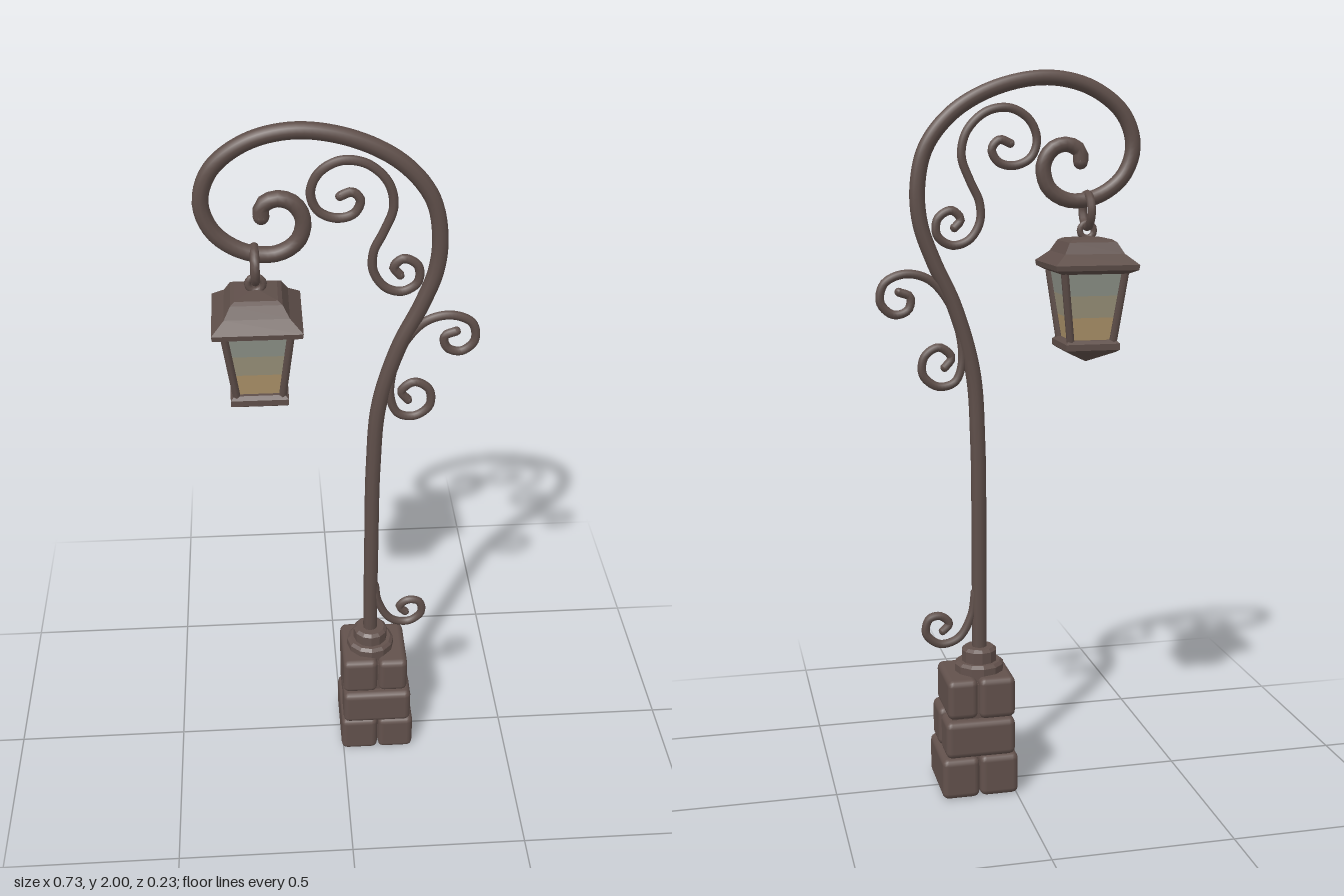
import * as THREE from 'three';
import { RoundedBoxGeometry } from 'three/addons/geometries/RoundedBoxGeometry.js';

const material = (name, color) => {
  const m = new THREE.MeshStandardMaterial({ color });
  m.name = name;
  return m;
};

export function createModel() {
  const root = new THREE.Group();
  root.name = 'streetLamp';
  const iron = material('iron', 0x5f4f4a);
  const stone = material('stone', 0x62514c);
  const glassTop = material('paleGlass', 0x90948a);
  const glassMid = material('hazyGlass', 0x9c947c);
  const glassLow = material('warmGlass', 0xb0966c);

  const add = (name, geometry, mat, parent = root) => {
    const mesh = new THREE.Mesh(geometry, mat);
    mesh.name = name;
    parent.add(mesh);
    return mesh;
  };
  const flat = (geometry) => {
    const g = geometry.index ? geometry.toNonIndexed() : geometry;
    g.computeVertexNormals();
    return g;
  };

  // Bent round bar in the xy plane with rounded ends
  const bar = (name, points, radius, steps, sides) => {
    const group = new THREE.Group();
    group.name = name;
    root.add(group);
    const path = points.map(([x, y]) => new THREE.Vector3(x, y, 0));
    const curve = new THREE.CatmullRomCurve3(path);
    add(name + 'Bar', new THREE.TubeGeometry(curve, steps, radius, sides), iron, group);
    for (const end of [path[0], path[path.length - 1]]) {
      add(name + 'End', new THREE.SphereGeometry(radius, sides, 6), iron, group).position.copy(end);
    }
  };

  // Pole sweeping over into the big hook
  bar('pole', [
    [0.085, 0.36], [0.085, 0.7], [0.087, 1.0], [0.1, 1.2], [0.15, 1.38], [0.205, 1.5],
    [0.24, 1.6], [0.246, 1.7], [0.222, 1.8], [0.148, 1.89], [0.03, 1.954], [-0.11, 1.979],
    [-0.23, 1.953], [-0.318, 1.885], [-0.346, 1.8], [-0.318, 1.72], [-0.245, 1.667],
    [-0.165, 1.658], [-0.11, 1.692], [-0.096, 1.75], [-0.12, 1.793], [-0.162, 1.806],
    [-0.197, 1.787], [-0.199, 1.76],
  ], 0.021, 150, 10);

  // Thin ornamental scrolls
  bar('innerScroll', [
    [-0.005, 1.808], [0.025, 1.818], [0.046, 1.794], [0.03, 1.761], [-0.013, 1.75],
    [-0.06, 1.771], [-0.077, 1.818], [-0.056, 1.87], [-0.003, 1.9], [0.061, 1.89],
    [0.114, 1.839], [0.128, 1.775], [0.105, 1.71], [0.08, 1.655], [0.08, 1.6],
    [0.11, 1.555], [0.156, 1.542], [0.195, 1.568], [0.193, 1.613], [0.156, 1.634],
    [0.131, 1.61], [0.148, 1.588],
  ], 0.012, 120, 7);
  bar('outerScroll', [
    [0.3, 1.42], [0.27, 1.407], [0.276, 1.372], [0.315, 1.36], [0.35, 1.392],
    [0.34, 1.443], [0.285, 1.468], [0.22, 1.453], [0.168, 1.395], [0.138, 1.315],
    [0.13, 1.225], [0.151, 1.172], [0.198, 1.162], [0.238, 1.195], [0.233, 1.245],
    [0.193, 1.269], [0.159, 1.24], [0.178, 1.213],
  ], 0.012, 100, 7);
  bar('baseScroll', [
    [0.098, 0.57], [0.108, 0.505], [0.145, 0.44], [0.198, 0.426], [0.238, 0.46],
    [0.228, 0.502], [0.195, 0.508], [0.172, 0.484], [0.19, 0.463],
  ], 0.012, 56, 7);

  // Stacked collar under the pole
  for (const [radius, y0, y1] of [[0.07, 0.33, 0.372], [0.05, 0.365, 0.412]]) {
    const collar = new THREE.LatheGeometry([
      new THREE.Vector2(radius, y0), new THREE.Vector2(radius, y1 - 0.008),
      new THREE.Vector2(radius - 0.009, y1), new THREE.Vector2(0, y1),
    ], 12);
    add('poleCollar', flat(collar), stone).position.x = 0.086;
  }

  // Stone blocks: x0, x1, y0, y1, z0, z1, with the seam direction alternating per course
  const blocks = [
    [-0.006, 0.104, 0, 0.12, -0.108, 0.108], [0.106, 0.212, 0, 0.118, -0.11, 0.108],
    [0, 0.203, 0.115, 0.228, 0.003, 0.11], [0.002, 0.2, 0.118, 0.226, -0.106, -0.005],
    [0, 0.103, 0.226, 0.345, -0.097, 0.095], [0.106, 0.192, 0.228, 0.343, -0.093, 0.096],
  ];
  const base = new THREE.Group();
  base.name = 'stoneBase';
  root.add(base);
  for (const [x0, x1, y0, y1, z0, z1] of blocks) {
    const g = new RoundedBoxGeometry(x1 - x0, y1 - y0, z1 - z0, 2, 0.018);
    add('stoneBlock', g, stone, base).position.set((x0 + x1) / 2, (y0 + y1) / 2, (z0 + z1) / 2);
  }
  add('baseCore', new THREE.BoxGeometry(0.16, 0.31, 0.16), stone, base).position.set(0.1, 0.17, 0);

  // Lantern hanging from the hook
  const lantern = new THREE.Group();
  lantern.name = 'lantern';
  lantern.position.x = -0.219;
  root.add(lantern);

  // Square part from [half width, height] pairs, bottom to top
  const square = (name, profile, mat) => {
    const pts = profile.map(([w, y]) => new THREE.Vector2(w * Math.SQRT2, y));
    add(name, flat(new THREE.LatheGeometry(pts, 4).rotateY(Math.PI / 4)), mat, lantern);
  };
  square('lanternRoof', [
    [0, 1.465], [0.092, 1.465], [0.114, 1.476], [0.116, 1.49], [0.083, 1.518],
    [0.066, 1.548], [0.055, 1.555], [0, 1.562],
  ], iron);
  square('lanternFoot', [
    [0, 1.217], [0.066, 1.25], [0.076, 1.257], [0.076, 1.274], [0.066, 1.283], [0, 1.283],
  ], iron);

  // Glass bands, pale above and warm below
  const halfAt = (y) => 0.055 + (y - 1.275) * 0.145;
  [[1.275, 1.345, glassLow], [1.345, 1.405, glassMid], [1.405, 1.47, glassTop]].forEach(([a, b, mat]) =>
    square('lanternGlass', [[halfAt(a), a], [halfAt(b), b]], mat));

  // Corner posts
  for (const sx of [-1, 1]) for (const sz of [-1, 1]) {
    const line = new THREE.LineCurve3(
      new THREE.Vector3(sx * 0.059, 1.27, sz * 0.059), new THREE.Vector3(sx * 0.085, 1.475, sz * 0.085));
    add('lanternPost', new THREE.TubeGeometry(line, 1, 0.011, 6), iron, lantern);
  }

  // Large ring around the hook and the small eye on the roof
  const ring = add('hangingRing', new THREE.TorusGeometry(0.044, 0.012, 8, 20), iron, lantern);
  ring.rotation.y = Math.PI / 2;
  ring.position.y = 1.63;
  add('roofEye', new THREE.TorusGeometry(0.02, 0.009, 8, 14), iron, lantern).position.y = 1.576;

  return root;
}
